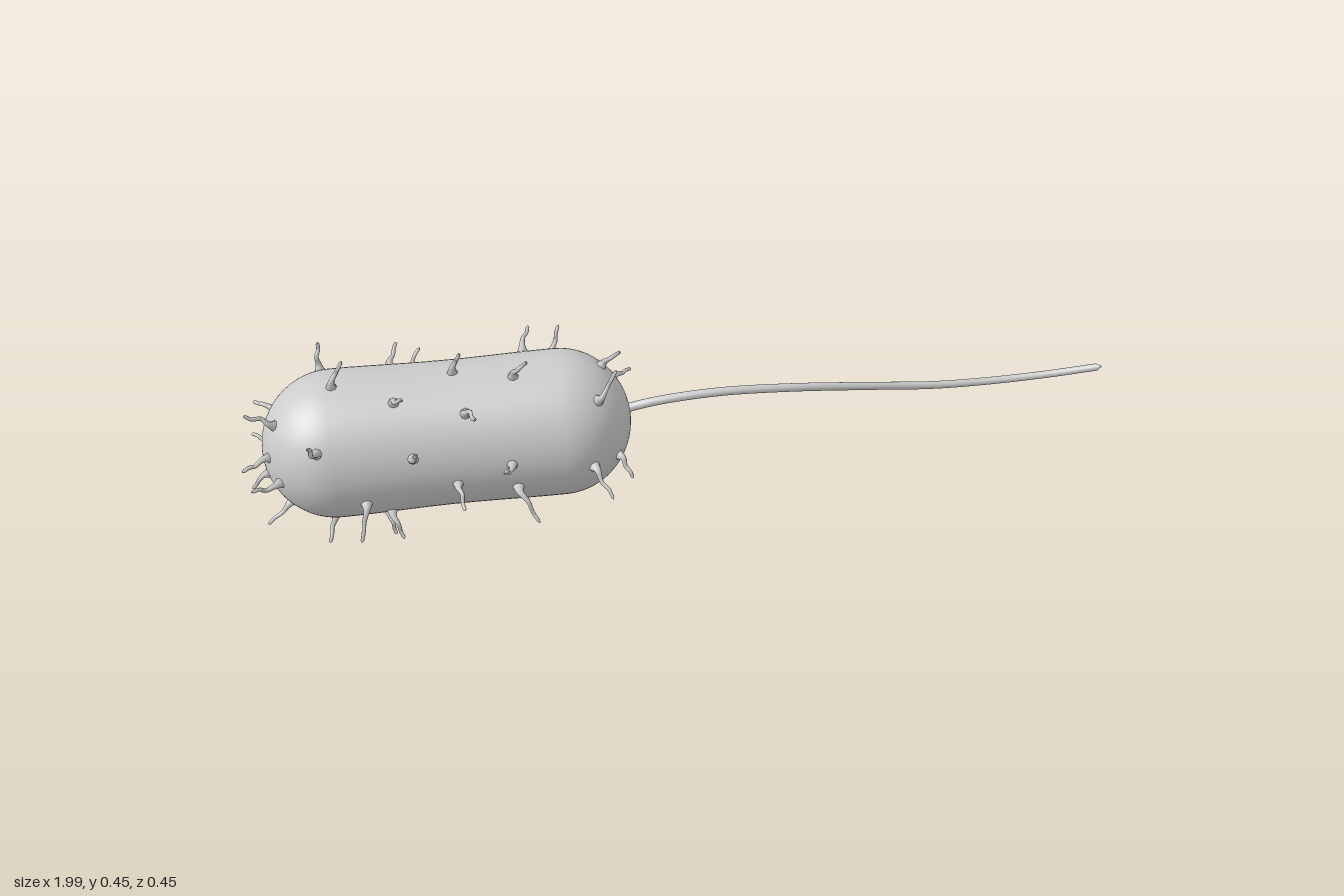
import * as THREE from 'three';

const CX = -0.55, CY = 0.223, CZ = 0.008; // body centre
const R = 0.166, STRAIGHT = 0.25, CAP = 0.16;

// Body radius at distance d from its middle: faint waist, elliptical ends
function bodyRadius(d) {
  const a = Math.abs(d);
  if (a < STRAIGHT) return R - 0.004 * (0.5 + 0.5 * Math.cos(Math.PI * a / STRAIGHT));
  return R * Math.sqrt(Math.max(0, 1 - ((a - STRAIGHT) / CAP) ** 2));
}

function makeBody(material) {
  const profile = [];
  for (let i = 0; i <= 14; i++) {
    const a = (i / 14) * Math.PI / 2;
    profile.push(new THREE.Vector2(R * Math.sin(a), -STRAIGHT - CAP * Math.cos(a)));
  }
  for (let i = 1; i < 12; i++) {
    const d = -STRAIGHT + (2 * STRAIGHT * i) / 12;
    profile.push(new THREE.Vector2(bodyRadius(d), d));
  }
  for (let i = 14; i >= 0; i--) profile.push(new THREE.Vector2(profile[i].x, -profile[i].y));
  const geometry = new THREE.LatheGeometry(profile, 56);
  geometry.rotateZ(-Math.PI / 2);
  const body = new THREE.Mesh(geometry, material);
  body.position.set(CX, CY, CZ);
  body.name = 'body';
  return body;
}

// Tube whose radius follows radiusAt(t), closed to a point at its end
function taperedTube(curve, segments, sides, radiusAt) {
  const geometry = new THREE.TubeGeometry(curve, segments, 1, sides);
  const pos = geometry.attributes.position;
  const p = new THREE.Vector3();
  for (let i = 0; i <= segments; i++) {
    const centre = curve.getPointAt(i / segments);
    const r = radiusAt(i / segments);
    for (let j = 0; j <= sides; j++) {
      const k = i * (sides + 1) + j;
      p.fromBufferAttribute(pos, k).sub(centre).multiplyScalar(r).add(centre);
      pos.setXYZ(k, p.x, p.y, p.z);
    }
  }
  return geometry;
}

// Hair rooted at x and angle (0 = front, 90 = top), bending along and around the body
function makeHair([x, degrees, along, around], index, material) {
  const a = THREE.MathUtils.degToRad(degrees);
  const d = x - CX, r = bodyRadius(d);
  const radial = new THREE.Vector3(0, Math.sin(a), Math.cos(a));
  const tangent = new THREE.Vector3(0, Math.cos(a), -Math.sin(a));
  const axis = new THREE.Vector3(1, 0, 0);
  const over = Math.max(0, Math.abs(d) - STRAIGHT) * Math.sign(d);
  const normal = radial.clone().multiplyScalar(r / (R * R)).addScaledVector(axis, over / (CAP * CAP)).normalize();
  const root = new THREE.Vector3(x, CY, CZ).addScaledVector(radial, r);
  const wave = index % 2 ? 0.006 : -0.006;
  const at = (out, bend, w) => root.clone().addScaledVector(normal, out)
    .addScaledVector(axis, along * bend + w * 0.5).addScaledVector(tangent, around * bend + w);
  const curve = new THREE.CatmullRomCurve3([
    at(-0.008, 0, 0), at(0.012, 0.05, 0), at(0.03, 0.35, wave), at(0.045, 0.7, -wave * 0.3), at(0.062, 1, 0),
  ]);
  const radiusAt = (t) => (t === 1 ? 0 : 0.0038 + 0.002 * (1 - t) + 0.013 * (1 - t) ** 7);
  const hair = new THREE.Mesh(taperedTube(curve, 18, 8, radiusAt), material);
  hair.name = 'hair';
  return hair;
}

// [x, angle, bend along, bend around]
const SIDE_HAIRS = [
  // front
  [-0.83, 28, 0, 0.02], [-0.63, 17, 0.01, 0.03], [-0.42, 4, -0.02, 0.02],
  [-0.54, -10, 0.01, -0.02], [-0.74, -22, -0.02, -0.06], [-0.41, -20, 0.04, -0.06],
  [-0.24, -9, 0.01, -0.05], [-0.69, -44, 0.02, -0.03],
  // top
  [-0.82, 124, 0.01, -0.02], [-0.79, 82, 0.03, 0.01], [-0.66, 62, 0.02, -0.03],
  [-0.53, 88, 0.02, -0.02], [-0.40, 76, 0.03, -0.02], [-0.51, 48, 0.02, -0.03],
  [-0.37, 127, 0.02, 0.04], [-0.67, 138, 0.02, 0.02],
  // back
  [-0.84, 163, 0, 0.02], [-0.64, 158, 0.04, -0.02], [-0.26, 172, -0.01, 0.05],
  [-0.75, 192, 0.02, 0.03], [-0.48, 178, -0.03, 0.02], [-0.42, 208, 0.03, -0.02],
  [-0.57, 222, -0.02, 0.02], [-0.30, 145, 0.02, -0.02],
  // underside
  [-0.82, -70, -0.01, 0.02], [-0.70, -64, 0.01, -0.02], [-0.53, -100, -0.01, 0.02],
  [-0.49, -118, 0.02, 0.01], [-0.39, -106, -0.03, -0.02], [-0.355, -118, -0.01, 0.01],
  [-0.66, -132, 0.01, -0.02],
];
const END_HAIRS = [
  [-0.22, 50, 0.01, 0.05], [-0.20, 98, 0, -0.04], [-0.17, 148, 0, 0.04],
  [-0.18, -18, -0.02, -0.04], [-0.21, -108, -0.01, 0.01], [-0.22, -152, -0.01, 0.02],
  [-0.92, 62, -0.01, 0.01], [-0.94, 22, 0, -0.02], [-0.95, -28, 0.02, -0.03],
  [-0.92, -8, -0.01, 0.02], [-0.91, -62, -0.01, 0.02], [-0.93, 150, 0, 0.02],
  [-0.94, 205, 0, -0.02], [-0.90, -112, 0, 0.02],
];

export function createModel() {
  const material = new THREE.MeshStandardMaterial({ color: 0xcccccc });
  const model = new THREE.Group();
  model.name = 'bacterium';
  model.add(makeBody(material));

  // Long wavy tail with a flat tip
  const path = new THREE.CatmullRomCurve3([
    [-0.17, 0.24, 0.012], [-0.08, 0.268, 0.029], [0.06, 0.281, 0.036], [0.23, 0.264, 0.022],
    [0.42, 0.222, -0.015], [0.6, 0.184, -0.046], [0.74, 0.175, -0.054], [0.87, 0.189, -0.038],
    [0.995, 0.225, 0.002],
  ].map((p) => new THREE.Vector3(...p)));
  const tail = new THREE.Mesh(
    taperedTube(path, 90, 14, (t) => (t === 1 ? 0 : 0.0102 - 0.0016 * t)), material);
  tail.name = 'tail';
  model.add(tail);

  const hairs = new THREE.Group();
  hairs.name = 'hairs';
  [...SIDE_HAIRS, ...END_HAIRS].forEach((spec, i) => hairs.add(makeHair(spec, i, material)));
  model.add(hairs);
  return model;
}
